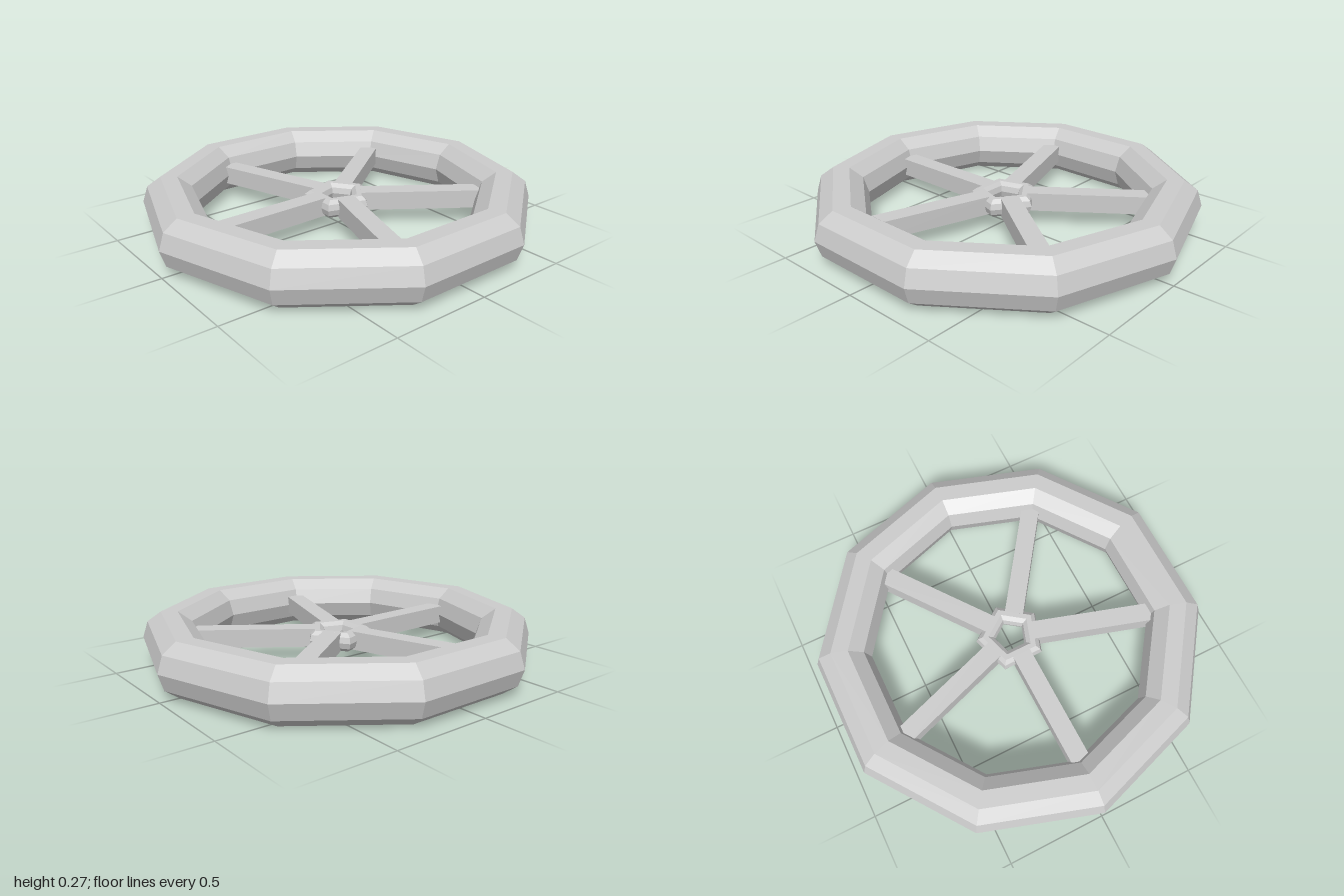
import * as THREE from 'three';

export function createModel() {
  const wheel = new THREE.Group();
  wheel.name = 'wheel';
  const material = new THREE.MeshStandardMaterial({ color: 0xcccccc, flatShading: true });
  const midY = 0.133;

  // Faceted ring lying flat, with a ten-sided cross-section
  function addRing(name, radius, tube, sides) {
    const geometry = new THREE.TorusGeometry(radius, tube, 10, sides);
    geometry.rotateX(-Math.PI / 2);
    const ring = new THREE.Mesh(geometry, material);
    ring.name = name;
    ring.position.y = midY;
    wheel.add(ring);
  }

  addRing('rim', 0.86, 0.14, 10);
  addRing('hub', 0.13, 0.05, 5);

  // Five square spokes from the flat sides of the hub into the rim corners
  const inner = 0.11, outer = 0.79, thickness = 0.095;
  const spokeGeometry = new THREE.BoxGeometry(outer - inner, thickness, thickness);
  spokeGeometry.translate((inner + outer) / 2, 0, 0);
  const twist = THREE.MathUtils.degToRad(0.9);
  for (let i = 0; i < 5; i++) {
    const spoke = new THREE.Mesh(spokeGeometry, material);
    spoke.name = `spoke${i + 1}`;
    spoke.position.y = midY;
    spoke.rotation.y = Math.PI / 5 + (i * 2 * Math.PI) / 5 + twist;
    wheel.add(spoke);
  }
  return wheel;
}
